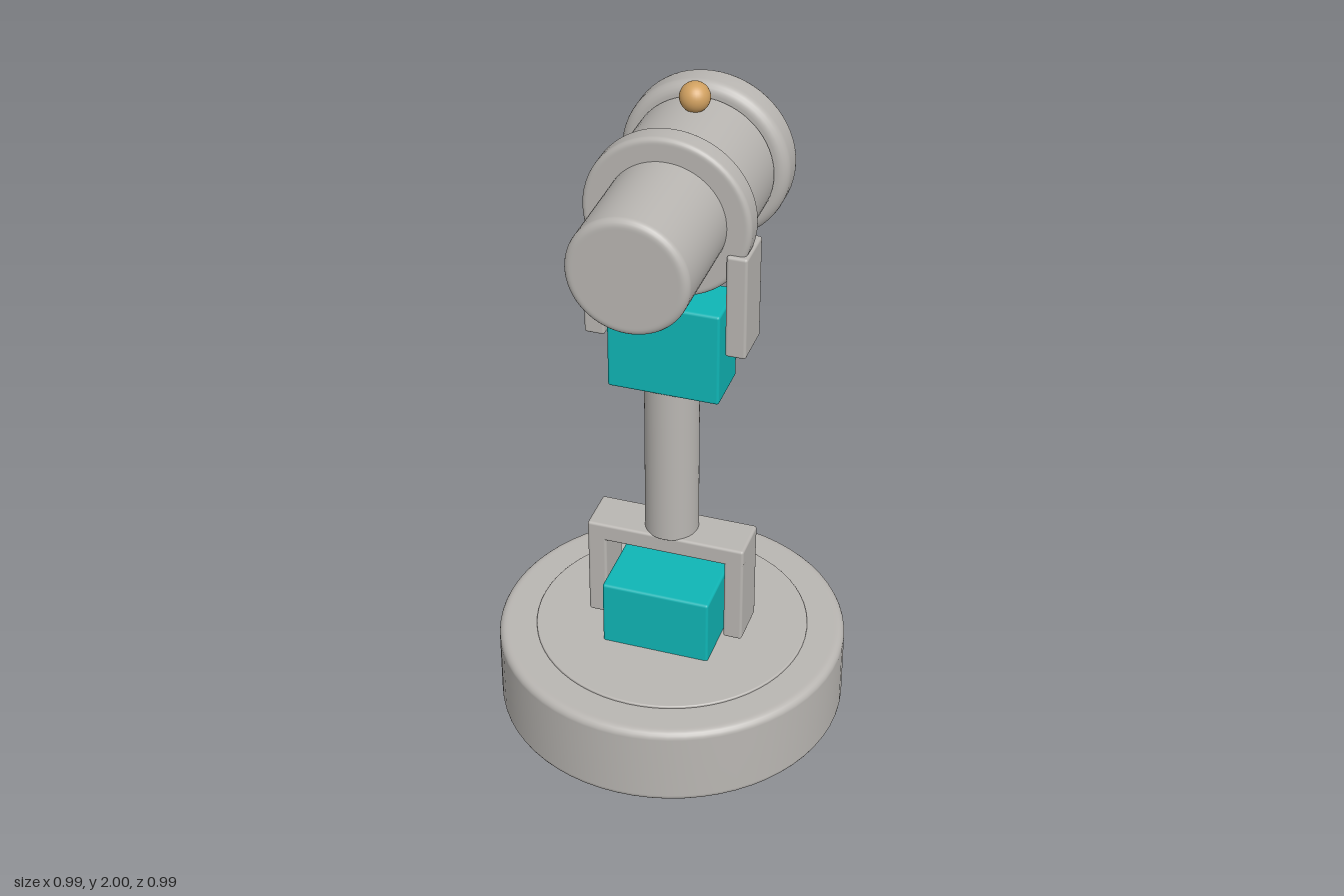
import * as THREE from 'three';
import { RoundedBoxGeometry } from 'three/addons/geometries/RoundedBoxGeometry.js';

const material = (name, color) => {
  const m = new THREE.MeshStandardMaterial({ color });
  m.name = name;
  return m;
};

// Quarter-circle of profile points around (x, y), starting at angle a (in quarter turns)
function corner(x, y, r, a, steps = 5) {
  return Array.from({ length: steps + 1 }, (_, i) => {
    const t = (a + i / steps) * Math.PI / 2;
    return new THREE.Vector2(x + r * Math.cos(t), y + r * Math.sin(t));
  });
}

// Solid drum with rounded rims, standing on the y axis
function drum(radius, y0, y1, bevel) {
  const flat = radius - bevel * 1.3;
  return new THREE.LatheGeometry([
    new THREE.Vector2(0, y0), new THREE.Vector2(flat, y0),
    ...corner(radius - bevel, y0 + bevel, bevel, -1),
    ...corner(radius - bevel, y1 - bevel, bevel, 0),
    new THREE.Vector2(flat, y1), new THREE.Vector2(0, y1),
  ], 64);
}

// Ring with separate rounding on its outer and inner edges
function ring(outer, inner, y0, y1, rOut, rIn) {
  const pts = [
    ...corner(outer - rOut, y0 + rOut, rOut, -1),
    ...corner(outer - rOut, y1 - rOut, rOut, 0),
    ...corner(inner + rIn, y1 - rIn, rIn, 1),
    ...corner(inner + rIn, y0 + rIn, rIn, 2),
  ];
  return new THREE.LatheGeometry([...pts, pts[0].clone()], 64);
}

export function createModel() {
  const grey = material('grey metal', 0xb9b6b2);
  const teal = material('teal', 0x0fb5b5);
  const brass = material('brass', 0xd0a060);
  const dark = material('dark glass', 0x1b1f2a);
  const model = new THREE.Group();

  const add = (parent, name, geometry, mat, x = 0, y = 0, z = 0) => {
    const mesh = new THREE.Mesh(geometry, mat);
    mesh.name = name;
    mesh.position.set(x, y, z);
    parent.add(mesh);
    return mesh;
  };
  const box = (w, h, d) => new RoundedBoxGeometry(w, h, d, 2, 0.008);
  const group = (name) => {
    const g = new THREE.Group();
    g.name = name;
    model.add(g);
    return g;
  };

  // Base: narrow foot, wide puck and thin turntable
  const base = group('base');
  add(base, 'foot', drum(0.256, 0, 0.16, 0.008), grey);
  add(base, 'puck', drum(0.495, 0.14, 0.387, 0.022), grey);
  add(base, 'turntable', drum(0.388, 0.37, 0.394, 0.004), grey);

  // Lower joint: motor block with a bridge over it
  const lower = group('lowerJoint');
  add(lower, 'lowerMotor', box(0.31, 0.22, 0.31), teal, 0, 0.48, 0);
  add(lower, 'bridge', box(0.456, 0.055, 0.134), grey, 0, 0.7025, 0);
  for (const s of [1, -1])
    add(lower, 'bridgeLeg', box(0.055, 0.31, 0.134), grey, s * 0.2, 0.575, 0);

  // Post
  add(model, 'post', drum(0.075, 0.725, 1.22, 0.005), grey);

  // Upper joint: motor block with two cradle arms
  const upper = group('upperJoint');
  add(upper, 'upperMotor', box(0.31, 0.272, 0.16), teal, 0, 1.346, 0);
  for (const s of [1, -1])
    add(upper, 'cradleArm', box(0.057, 0.3, 0.134), grey, s * 0.194, 1.508, 0);

  // Scope tube lying along z
  const scope = group('scope');
  scope.position.y = 1.73;
  const along = (g) => g.rotateX(Math.PI / 2);
  add(scope, 'frontTube', along(drum(0.163, 0.03, 0.365, 0.02)), grey);
  add(scope, 'flange', along(drum(0.227, -0.015, 0.055, 0.014)), grey);
  add(scope, 'rearTube', along(drum(0.198, -0.262, 0, 0.014)), grey);
  add(scope, 'lensRing', along(ring(0.233, 0.105, -0.362, -0.258, 0.03, 0.05)), grey);
  add(scope, 'lens', along(new THREE.CylinderGeometry(0.115, 0.115, 0.008, 48)), dark, 0, 0, -0.312);

  // Sight bead
  add(scope, 'sightBead', new THREE.SphereGeometry(0.041, 32, 20), brass, 0, 0.229, -0.187);

  return model;
}
